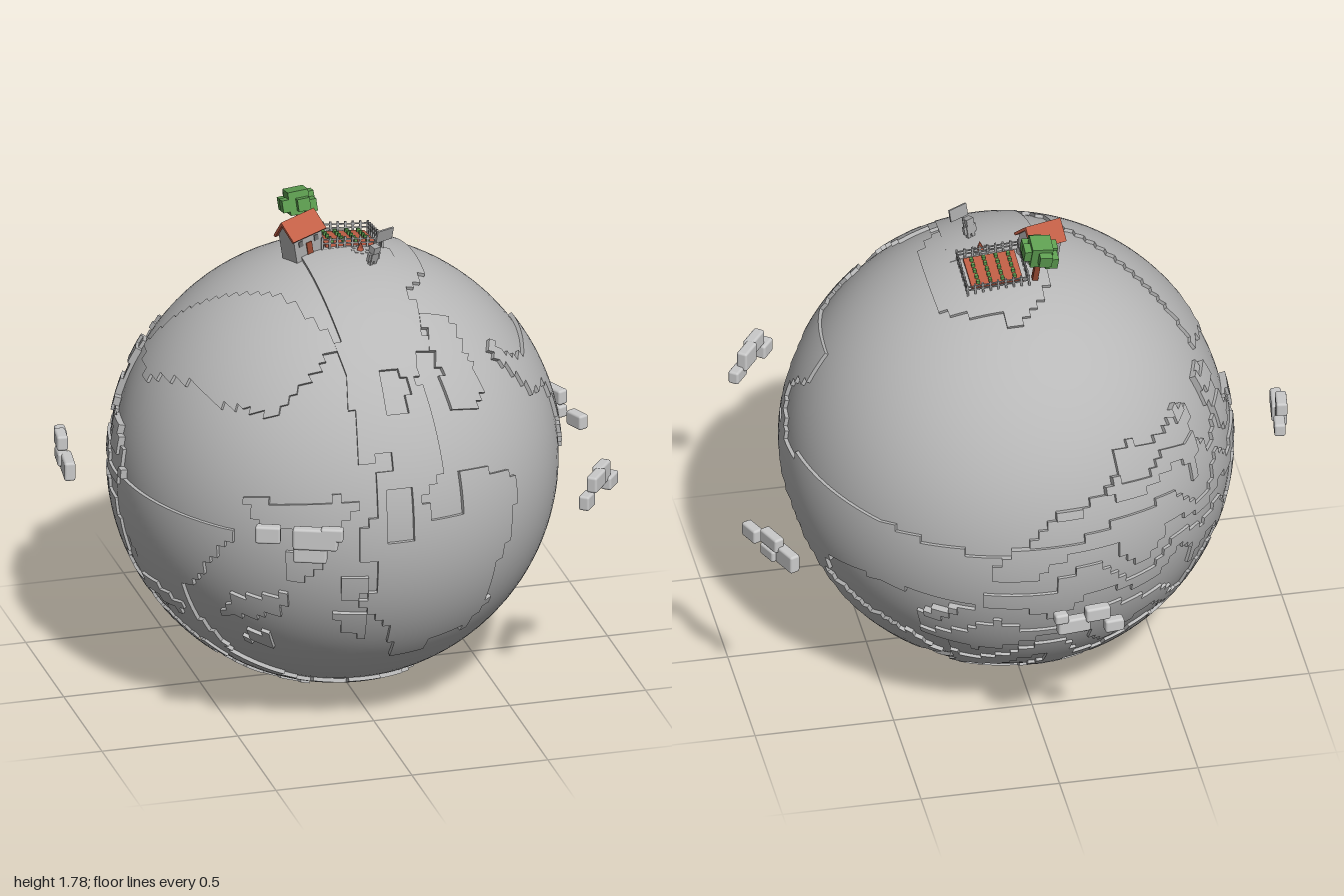
import * as THREE from 'three';
import { RoundedBoxGeometry } from 'three/addons/geometries/RoundedBoxGeometry.js';

const R = 0.79, CY = 0.82, N = 38;
const Y = new THREE.Vector3(0, 1, 0);

const mat = (name, color) => Object.assign(new THREE.MeshStandardMaterial({ color }), { name });

// Coastlines, in hundredths of a unit, as seen along one axis
const frontLand = [
  [-12, 165, -12, 111, -6, 111, -6, 92, -12, 88, -12, 76, -5, 74, -5, 62, -12, 60, -6, 50, 2, 46, 2, 32, 16, 32, 16, 52, 22, 62, 31, 65, 31, 89, 14, 90, 10, 98, 17, 102, 17, 122, 13, 135, 22, 165],
  [20, 150, 32, 145, 38, 125, 33, 120, 25, 122, 22, 138],
  [45, 135, 49, 136, 49, 131, 45, 131],
  [-52, 97, -30, 97, -20, 100, -12, 98, -18, 90, -45, 88],
  [-38, 78, -27, 82, -26, 74, -36, 66],
  [-18, 69, -11, 70, -11, 61, -18, 61],
  [-52, 58, -36, 62, -38, 52, -55, 47],
  [-45, 41, -38, 42, -38, 36, -45, 36],
  [-20, 54, -10, 53, -8, 42, -18, 46],
  [28, 57, 38, 60, 38, 46, 30, 43],
  [-85, 85, -53, 84, -60, 70, -65, 55, -60, 42, -45, 25, -20, 12, 15, 12, 30, 6, 0, -5, -90, 0],
];
const frontLakes = [
  [-1, 138, 6, 138, 10, 132, 8, 126, -1, 126],
  [-5, 114, 1, 114, 1, 109, -5, 109],
  [-3, 100, 5, 100, 5, 83, -3, 83],
];
const rightLand = [
  [41, 134, 32, 126, 16, 126, -2, 128, -2, 117, 11, 108, 11, 100, -2, 95, 0, 90, 20, 97, 24, 113, 39, 116],
  [-18, 96, -52, 93, -82, 84, -82, 64, -45, 66, -30, 62, -28, 53, -50, 38, -48, 28, -30, 20, -25, 40, -22, 55, -10, 70, 10, 82, 24, 94, 10, 90, -10, 92],
  [72, 105, 62, 95, 66, 62, 58, 38, 80, 40],
];
const topLand = [
  [3, -36, 8, -28, 22, -26, 29, -18, 29, 14, 19, 25, 20, 50, -6, 50, -10, 20, -14, -12, -8, -25],
  [-64, -18, -45, 0, -26, 20, -12, 45, -22, 52, -38, 55, -52, 42, -62, 20, -70, 0],
];

function inside(poly, x, y) {
  let hit = false;
  for (let i = 0, j = poly.length - 2; i < poly.length; j = i, i += 2) {
    const [xi, yi, xj, yj] = [poly[i], poly[i + 1], poly[j], poly[j + 1]];
    if ((yi > y) !== (yj > y) && x < (xj - xi) * (y - yi) / (yj - yi) + xi) hit = !hit;
  }
  return hit;
}

// Height of the land above the globe in a given direction
const farSide = new THREE.Vector3(-0.55, -0.5, -0.62).normalize();
function height(d) {
  const x = d.x * R * 100, y = (d.y * R + CY) * 100, z = d.z * R * 100;
  const any = (polys, a, b) => polys.some(p => inside(p, a, b));
  const wave = Math.sin(d.x * 11 + 2 * d.y) * Math.sin(d.y * 13 + d.z * 4) + 0.6 * Math.sin(d.z * 17 - d.x * 9);
  const far = d.dot(farSide) + 0.13 * wave;
  if (far > 0.56) return Math.sin(d.y * 26 + wave * 2) > 0.1 ? 0.024 : 0.013;
  if (d.z > 0 && any(frontLakes, x, y)) return 0;
  if (d.z > 0 && any(frontLand, x, y)) return 0.014;
  if (d.x > 0 && any(rightLand, z, y)) return 0.014;
  if (d.y > 0 && any(topLand, x, z)) return 0.012;
  return 0;
}

// Stepped land plates on a grid of six cube faces bulged onto the sphere
function landGeometry() {
  const pos = [], nor = [];
  const quad = (pts, normals) => [0, 1, 2, 0, 2, 3].forEach(k => {
    pos.push(...pts[k].toArray());
    nor.push(...normals[k].toArray());
  });
  const X = new THREE.Vector3(1, 0, 0), Z = new THREE.Vector3(0, 0, 1);
  const faces = [[X, Y, Z], [Y, Z, X], [Z, X, Y]].flatMap(([n, a, b]) => [[n, a, b], [n.clone().negate(), b, a]]);
  const tan = i => Math.tan((i / N * 2 - 1) * Math.PI / 4);
  for (const [n, a, b] of faces) {
    const dir = (i, j) => n.clone().addScaledVector(a, tan(i)).addScaledVector(b, tan(j)).normalize();
    for (let i = 0; i < N; i++) for (let j = 0; j < N; j++) {
      const h = height(dir(i + 0.5, j + 0.5));
      if (!h) continue;
      const c = [dir(i, j), dir(i + 1, j), dir(i + 1, j + 1), dir(i, j + 1)];
      quad(c.map(v => v.clone().multiplyScalar(R + h)), c);
      [[0, -1], [1, 0], [0, 1], [-1, 0]].forEach(([di, dj], k) => {
        const low = height(dir(i + 0.5 + di, j + 0.5 + dj));
        if (low >= h) return;
        const p = c[k], q = c[(k + 1) % 4];
        const out = q.clone().sub(p).cross(p).normalize();
        const at = (v, e) => v.clone().multiplyScalar(R + e);
        quad([at(p, low - 0.004), at(q, low - 0.004), at(q, h), at(p, h)], [out, out, out, out]);
      });
    }
  }
  const g = new THREE.BufferGeometry();
  g.setAttribute('position', new THREE.Float32BufferAttribute(pos, 3));
  g.setAttribute('normal', new THREE.Float32BufferAttribute(nor, 3));
  return g;
}

export function createModel() {
  const model = new THREE.Group();
  const stone = mat('globe grey', 0xb8b8b8), pale = mat('cloud grey', 0xcacaca), grey = mat('wood grey', 0xa6a6a6);
  const red = mat('tile red', 0xc25f46), brown = mat('trunk brown', 0x9a4a32);
  const green = mat('leaf green', 0x5fa052), dark = mat('window grey', 0x6c6c6c);

  const add = (parent, name, geo, m, x = 0, y = 0, z = 0) => {
    const mesh = new THREE.Mesh(geo, m);
    mesh.name = name;
    mesh.position.set(x, y, z);
    parent.add(mesh);
    return mesh;
  };
  const box = (parent, name, m, w, h, d, x, y, z) => add(parent, name, new THREE.BoxGeometry(w, h, d), m, x, y, z);
  // Group standing upright on the globe at (x, z), turned by yaw
  const stand = (name, x, z, yaw = 0) => {
    const g = new THREE.Group();
    g.name = name;
    const d = new THREE.Vector3(x, Math.sqrt(R * R - x * x - z * z), z).normalize();
    g.position.copy(d).multiplyScalar(R + 0.006).add(new THREE.Vector3(0, CY, 0));
    g.quaternion.setFromUnitVectors(Y, d);
    g.rotateY(yaw);
    model.add(g);
    return g;
  };

  add(model, 'globe', new THREE.SphereGeometry(R, 96, 64), stone, 0, CY, 0);
  add(model, 'land', landGeometry(), stone, 0, CY, 0);

  // House with a gabled roof
  const house = stand('house', -0.11, -0.03, 0.4);
  const gable = new THREE.Shape([[-0.042, -0.01], [0.042, -0.01], [0.042, 0.09], [0, 0.132], [-0.042, 0.09]].map(p => new THREE.Vector2(...p)));
  const walls = new THREE.ExtrudeGeometry(gable, { depth: 0.126, bevelEnabled: false }).translate(0, 0, -0.063).rotateY(Math.PI / 2);
  add(house, 'walls', walls, grey);
  const slab = new THREE.Shape([[-0.058, 0.08], [-0.05, 0.074], [0, 0.129], [0.05, 0.074], [0.058, 0.08], [0, 0.144]].map(p => new THREE.Vector2(...p)));
  add(house, 'roof', new THREE.ExtrudeGeometry(slab, { depth: 0.15, bevelEnabled: false }).translate(0, 0, -0.075).rotateY(Math.PI / 2), red);
  for (const x of [-0.035, 0.035]) for (const s of [-1, 1]) box(house, 'window', dark, 0.018, 0.02, 0.004, x, 0.055, s * 0.043);
  box(house, 'door', brown, 0.024, 0.05, 0.006, 0, 0.025, 0.043);

  // Tree with a clustered block crown
  const tree = stand('tree', -0.075, -0.16);
  box(tree, 'trunk', brown, 0.02, 0.12, 0.02, 0, 0.05, 0);
  box(tree, 'crown', green, 0.075, 0.085, 0.075, 0, 0.145, 0);
  for (const [x, y, z] of [[-0.04, 0.14, 0.015], [0.04, 0.15, -0.01], [0.01, 0.14, 0.042], [-0.01, 0.15, -0.042], [0.035, 0.13, 0.035], [-0.035, 0.135, -0.035]])
    box(tree, 'leafBlock', green, 0.045, 0.045, 0.045, x, y, z);

  // Vegetable bed with rows of plants
  const garden = stand('garden', 0.06, -0.095);
  box(garden, 'soil', red, 0.185, 0.016, 0.16, 0, 0.002, 0);
  for (let i = 0; i < 4; i++) for (let j = 0; j < 5; j++) {
    const x = -0.066 + i * 0.044, z = -0.06 + j * 0.03;
    box(garden, 'plant', green, 0.012, 0.014, 0.012, x, 0.016, z);
  }
  // Fence of posts and two rails on each side
  for (const s of [-1, 1]) {
    for (const y of [0.016, 0.03]) {
      box(garden, 'rail', grey, 0.222, 0.005, 0.004, 0, y, s * 0.096);
      box(garden, 'rail', grey, 0.004, 0.005, 0.192, s * 0.111, y, 0);
    }
    for (let i = 0; i <= 8; i++) {
      box(garden, 'post', grey, 0.007, 0.052, 0.007, -0.111 + i * 0.02775, 0.014, s * 0.096);
      if (i > 0 && i < 8) box(garden, 'post', grey, 0.007, 0.052, 0.007, s * 0.111, 0.014, -0.096 + i * 0.024);
    }
  }

  // Campfire ringed with stones
  const fire = stand('campfire', 0.08, 0.03);
  add(fire, 'flame', new THREE.ConeGeometry(0.017, 0.045, 5), red, 0, 0.02, 0);
  for (let i = 0; i < 8; i++) {
    const a = i * Math.PI / 4;
    box(fire, 'stone', grey, 0.011, 0.012, 0.011, Math.cos(a) * 0.027, 0.003, Math.sin(a) * 0.027);
  }

  // Blocky figure holding a flag
  const figure = stand('figure', 0.095, 0.13, 0.45);
  for (const s of [-1, 1]) {
    box(figure, 'leg', grey, 0.012, 0.03, 0.014, s * 0.009, 0.01, 0);
    box(figure, 'arm', grey, 0.01, 0.03, 0.012, s * 0.021, 0.038, 0);
  }
  box(figure, 'torso', grey, 0.032, 0.032, 0.02, 0, 0.038, 0);
  box(figure, 'head', grey, 0.03, 0.026, 0.028, 0, 0.068, 0);
  box(figure, 'pole', grey, 0.005, 0.12, 0.005, 0.02, 0.08, 0);
  box(figure, 'flag', grey, 0.075, 0.046, 0.007, 0.035, 0.118, 0);

  // Floating clouds: x, z, then puffs as [along, y, width, height]
  const clouds = [
    [-0.37, 0.91, [[-0.13, 0.935, 0.09, 0.065], [0.04, 0.93, 0.16, 0.08], [0.02, 0.865, 0.12, 0.06], [0.1, 0.95, 0.08, 0.05]]],
    [0.8, 0.6, [[-0.1, 0.845, 0.07, 0.055], [-0.04, 0.9, 0.1, 0.06], [0.04, 0.895, 0.09, 0.075], [0.09, 0.85, 0.08, 0.05]]],
    [0.92, -0.4, [[-0.13, 0.73, 0.08, 0.055], [0.01, 0.78, 0.1, 0.055], [0.09, 0.74, 0.1, 0.07], [0, 0.725, 0.08, 0.045]]],
    [-0.11, -0.955, [[0.1, 0.625, 0.07, 0.05], [0.035, 0.695, 0.09, 0.055], [-0.05, 0.655, 0.12, 0.06], [-0.1, 0.7, 0.05, 0.04]]],
    [-0.965, -0.13, [[-0.12, 0.91, 0.07, 0.05], [-0.02, 0.935, 0.09, 0.055], [0.07, 0.87, 0.12, 0.07], [0, 0.88, 0.09, 0.05]]],
  ];
  for (const [x, z, puffs] of clouds) {
    const cloud = new THREE.Group();
    cloud.name = 'cloud';
    cloud.position.set(x, 0, z);
    cloud.rotation.y = Math.atan2(x, z);
    puffs.forEach(([u, y, w, h], i) =>
      add(cloud, 'puff', new RoundedBoxGeometry(w, h, 0.04, 2, 0.009), pale, u, y, (i % 2) * 0.012 - 0.006));
    model.add(cloud);
  }
  return model;
}
